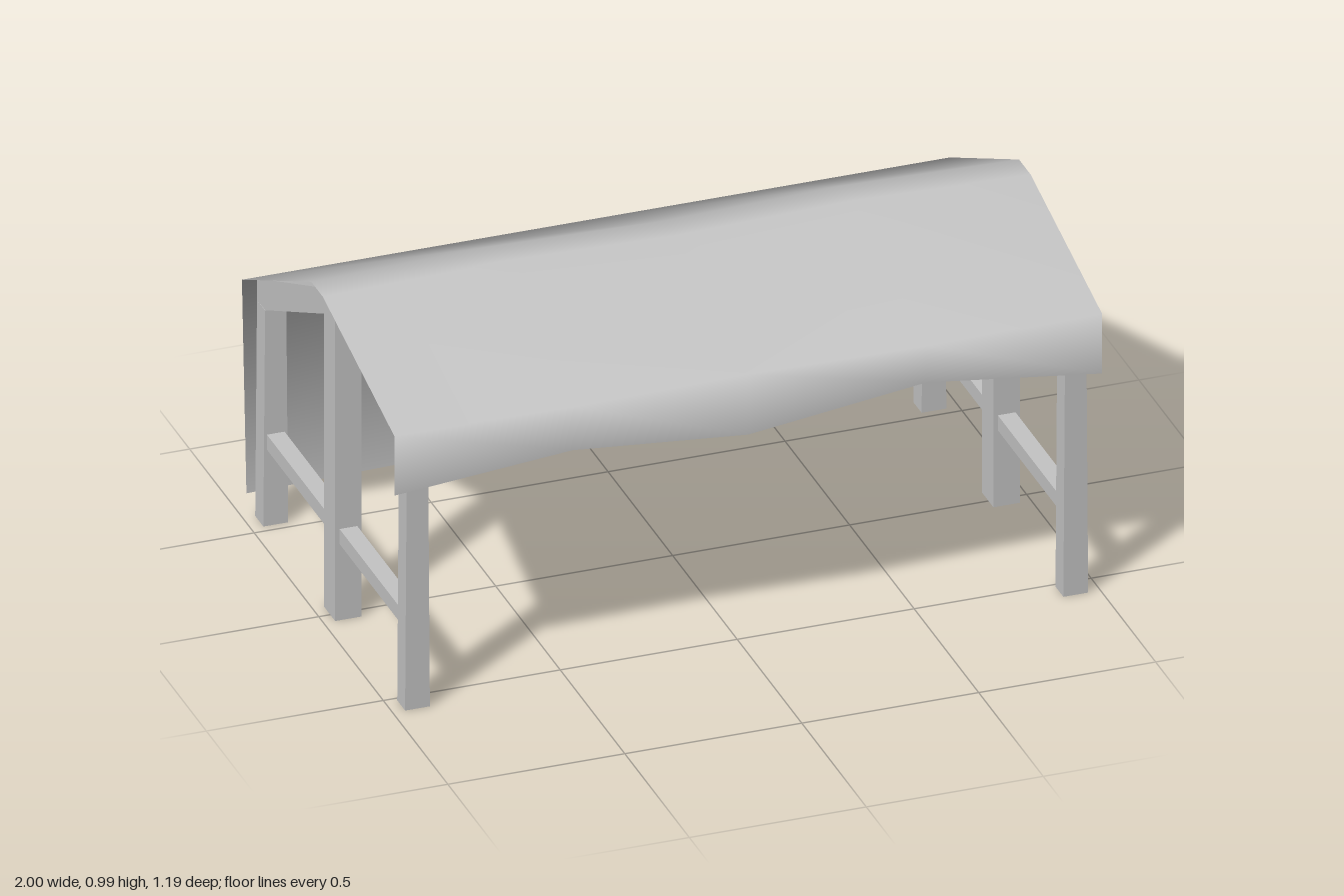
import * as THREE from 'three';

const grey = new THREE.MeshStandardMaterial({ color: 0xc4c4c4, side: THREE.DoubleSide });
grey.name = 'plain grey';

function part(name, geometry) {
  const mesh = new THREE.Mesh(geometry, grey);
  mesh.name = name;
  return mesh;
}

// Upright with an open foot, narrowing slightly in x towards the top
function upright(name, x, z0, z1, height, width, topWidth) {
  const geo = new THREE.BoxGeometry(width, height, z1 - z0);
  const index = Array.from(geo.index.array);
  index.splice(18, 6);
  geo.setIndex(index);
  geo.clearGroups();
  const p = geo.attributes.position;
  for (let i = 0; i < p.count; i++) {
    if (p.getY(i) > 0) p.setX(i, Math.sign(p.getX(i)) * topWidth / 2);
  }
  geo.computeVertexNormals();
  geo.translate(x, height / 2, (z0 + z1) / 2);
  return part(name, geo);
}

// Beam with a side outline given as [z, y] points
function beam(name, x, width, outline) {
  const shape = new THREE.Shape(outline.map(([z, y]) => new THREE.Vector2(-z, y)));
  const geo = new THREE.ExtrudeGeometry(shape, { depth: width, bevelEnabled: false });
  geo.translate(0, 0, -width / 2);
  geo.rotateY(Math.PI / 2);
  geo.translate(x, 0, 0);
  return part(name, geo);
}

function rail(name, x, z0, z1) {
  const geo = new THREE.BoxGeometry(0.05, 0.045, z1 - z0);
  geo.translate(x, 0.2525, (z0 + z1) / 2);
  return part(name, geo);
}

// Timber frame carrying one end of the cover
function endFrame(name, x) {
  const frame = new THREE.Group();
  frame.name = name;
  frame.add(
    upright('frontLeg', x, 0.512, 0.573, 0.78, 0.07, 0.06),
    upright('ridgePost', x, -0.05, 0.038, 0.975, 0.075, 0.075),
    upright('backLeg', x, -0.588, -0.525, 0.65, 0.07, 0.06),
    rail('frontRail', x, 0.035, 0.515),
    rail('backRail', x, -0.527, -0.047),
    beam('frontRafter', x, 0.06,
      [[0.573, 0.78], [0.51, 0.78], [0.038, 0.885], [0.038, 0.96], [0.573, 0.837]]),
    beam('backRafter', x, 0.06,
      [[-0.05, 0.88], [-0.523, 0.652], [-0.588, 0.65], [-0.588, 0.715], [-0.05, 0.957]]),
  );
  return frame;
}

// Cloth cover: cross-sections from the front hem over the ridge to the back hem
function cover() {
  const frontHem = [0.66, 0.71, 0.66, 0.73, 0.66];
  const backHem = [0.07, 0.08, 0.09, 0.07, 0.05];
  const positions = [], index = [];
  const rows = 6, cols = 5;
  for (let r = 0; r < rows; r++) {
    for (let c = 0; c < cols; c++) {
      const x = -1 + c / 2;
      const wave = c % 2;
      const ridge = 0.98 + 0.013 * wave;
      const [y, z, spread] = [
        [frontHem[c], 0.585 + 0.01 * wave, 1],
        [0.84, 0.585 + 0.01 * wave, 1],
        [ridge, 0.032, 1],
        [ridge, -0.058, 1],
        [0.715, -0.595, 1],
        [backHem[c], -0.593, 0.988],
      ][r];
      positions.push(x * spread, y, z);
      if (r < rows - 1 && c < cols - 1) {
        const a = r * cols + c, b = a + 1, d = a + cols, e = d + 1;
        index.push(a, b, d, b, e, d);
      }
    }
  }
  const geo = new THREE.BufferGeometry();
  geo.setAttribute('position', new THREE.Float32BufferAttribute(positions, 3));
  geo.setIndex(index);
  geo.computeVertexNormals();
  return part('clothCover', geo);
}

export function createModel() {
  const model = new THREE.Group();
  model.name = 'coveredStall';
  model.add(endFrame('leftFrame', 0.93), endFrame('rightFrame', -0.93), cover());
  return model;
}
